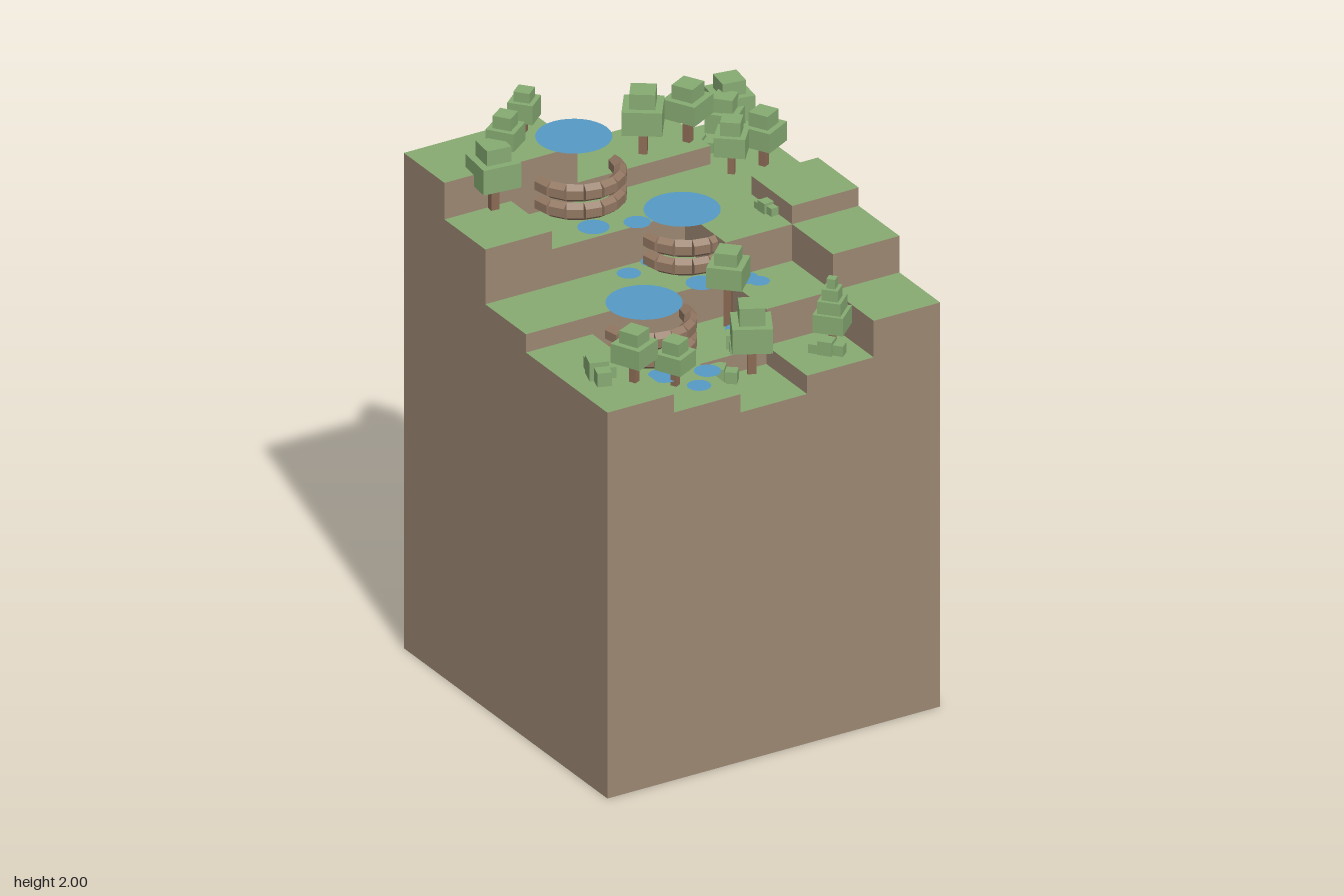
import * as THREE from 'three';

const mat = (name, color, side = THREE.FrontSide) => {
  const m = new THREE.MeshStandardMaterial({ color, side });
  m.name = name;
  return m;
};

export function createModel() {
  const root = new THREE.Group();
  root.name = 'terracedIsland';
  const earth = mat('earth', 0x9b8772);
  const grass = mat('grass', 0x88aa72);
  const water = mat('water', 0x5599c5, THREE.DoubleSide);
  const rock = mat('rock', 0x927762);
  rock.flatShading = true;
  const bark = mat('bark', 0x8a6a54);
  const leaf = mat('leaf', 0x86aa72);

  const add = (parent, name, geo, m, x, y, z) => {
    const mesh = new THREE.Mesh(geo, m);
    mesh.name = name;
    mesh.position.set(x, y, z);
    parent.add(mesh);
    return mesh;
  };

  // Terraces: 5 x 5 columns, rows from back to front, grass on top
  const levels = [
    [8, 8, 6, 6, 5],
    [6, 5, 5, 5, 5],
    [3, 3, 3, 5, 6],
    [2, 1, 1, 3, 5],
    [2, 1, 0, 1, 3],
  ];
  const cell = 0.256;
  const height = (l) => 1.285 + l * 0.0671;
  const index = (v) => Math.min(4, Math.max(0, Math.floor((v + 0.64) / cell)));
  const ground = (x, z) => height(levels[index(z)][index(x)]);
  const terrain = new THREE.Group();
  terrain.name = 'terraces';
  root.add(terrain);
  levels.forEach((row, r) => row.forEach((l, c) => {
    const h = height(l);
    add(terrain, 'terrace', new THREE.BoxGeometry(cell, h, cell),
      [earth, earth, grass, earth, earth, earth],
      (c - 2) * cell, h / 2, (r - 2) * cell);
  }));

  // Pools: a large basin, a two-course rock wall and four small puddles each
  const disc = (parent, name, r, x, y, z) => {
    add(parent, name, new THREE.CircleGeometry(r, 32).rotateX(-Math.PI / 2), water, x, y, z);
  };
  const puddles = [
    [-0.073, 0.243, 0.053], [0.068, 0.288, 0.045],
    [0.095, 0.33, 0.035], [-0.011, 0.364, 0.04],
  ];
  const pools = [
    [-0.13, -0.405, 1.85, 1.62],
    [0.10, -0.1, 1.652, 1.487],
    [-0.22, 0.184, 1.517, 1.352],
  ];
  for (const [px, pz, py, base] of pools) {
    const pool = new THREE.Group();
    pool.name = 'pool';
    root.add(pool);
    disc(pool, 'basinWater', 0.127, px, py, pz);
    for (const [dx, dz, r] of puddles) {
      const x = px + dx, z = pz + dz;
      disc(pool, 'puddle', r, x, ground(x, z - 0.02) + 0.02, z);
    }
    const count = 8, radius = 0.142;
    for (let course = 0; course < 2; course++) {
      for (let i = 0; i < count; i++) {
        const a = (i + 0.5) / count * Math.PI;
        const geo = new THREE.CylinderGeometry(0.03, 0.03, 0.056, 6)
          .rotateX(Math.PI / 2).scale(0.8, 1.05, 1);
        const stone = add(pool, 'wallStone', geo, rock,
          px + Math.cos(a) * radius, base + 0.034 + course * 0.068, pz + 0.02 + Math.sin(a) * radius);
        stone.rotation.y = -a;
      }
    }
  }

  // Trees: trunk with stacked square crowns, listed as [side, bottom, top]
  const tree = (x, z, turn, crowns) => {
    const g = new THREE.Group();
    g.name = 'tree';
    g.position.set(x, 0, z);
    g.rotation.y = THREE.MathUtils.degToRad(turn);
    root.add(g);
    const y0 = ground(x, z), y1 = crowns[0][1] + 0.01;
    const t = crowns[0][0] * 0.22;
    add(g, 'trunk', new THREE.BoxGeometry(t, y1 - y0, t), bark, 0, (y0 + y1) / 2, 0);
    for (const [s, b, top] of crowns) {
      add(g, 'crown', new THREE.BoxGeometry(s, top - b, s), leaf, 0, (b + top) / 2, 0);
    }
  };
  // x, z, turn, crown width, crown bottom, shoulder, top
  const trees = [
    [-0.22, -0.57, 40, 0.088, 1.87, 1.94, 1.975],
    [-0.39, -0.41, 36, 0.1, 1.89, 1.955, 2.0],
    [-0.46, -0.37, -6, 0.137, 1.78, 1.87, 1.925],
    [0.17, -0.46, -35, 0.134, 1.78, 1.865, 1.92],
    [0.34, -0.455, 28, 0.122, 1.78, 1.85, 1.9],
    [0.48, -0.45, 42, 0.11, 1.7, 1.77, 1.82],
    [0.53, -0.505, -9, 0.13, 1.71, 1.8, 1.85],
    [0.41, -0.295, -40, 0.106, 1.7, 1.77, 1.82],
    [0.53, -0.29, 28, 0.112, 1.7, 1.77, 1.82],
    [0.1, 0.19, 45, 0.12, 1.51, 1.585, 1.63],
    [0.055, 0.41, -28, 0.134, 1.385, 1.475, 1.54],
    [-0.275, 0.47, 27, 0.1, 1.415, 1.475, 1.52],
    [-0.445, 0.49, 25, 0.112, 1.495, 1.565, 1.61],
  ];
  for (const [x, z, turn, w, b, m, t] of trees) {
    tree(x, z, turn, [[w, b, m], [w * 0.64, m, t]]);
  }

  // Tiered conifer
  tree(0.31, 0.5, 42, [
    [0.104, 1.42, 1.485], [0.08, 1.485, 1.53], [0.055, 1.53, 1.57], [0.03, 1.57, 1.605],
  ]);

  // Bushes: small clusters of cubes
  const bush = (x, z, turn, s) => {
    const g = new THREE.Group();
    g.name = 'bush';
    g.position.set(x, ground(x, z), z);
    g.rotation.y = THREE.MathUtils.degToRad(turn);
    root.add(g);
    const cubes = [[0, 0, 1], [0.1, 0.85, 0.75], [-0.1, -0.8, 0.65], [0.6, 0.1, 0.6]];
    for (const [dx, dz, k] of cubes) {
      add(g, 'bushLeaves', new THREE.BoxGeometry(s * k, s * k, s * k), leaf, dx * s, s * k / 2, dz * s);
    }
  };
  bush(-0.53, 0.395, -18, 0.066);
  bush(0.36, 0.0, 5, 0.038);
  bush(0.4, -0.5, 40, 0.05);
  bush(0.035, 0.33, -30, 0.05);
  bush(-0.075, 0.405, 50, 0.056);
  bush(0.27, 0.53, 40, 0.05);

  return root;
}
